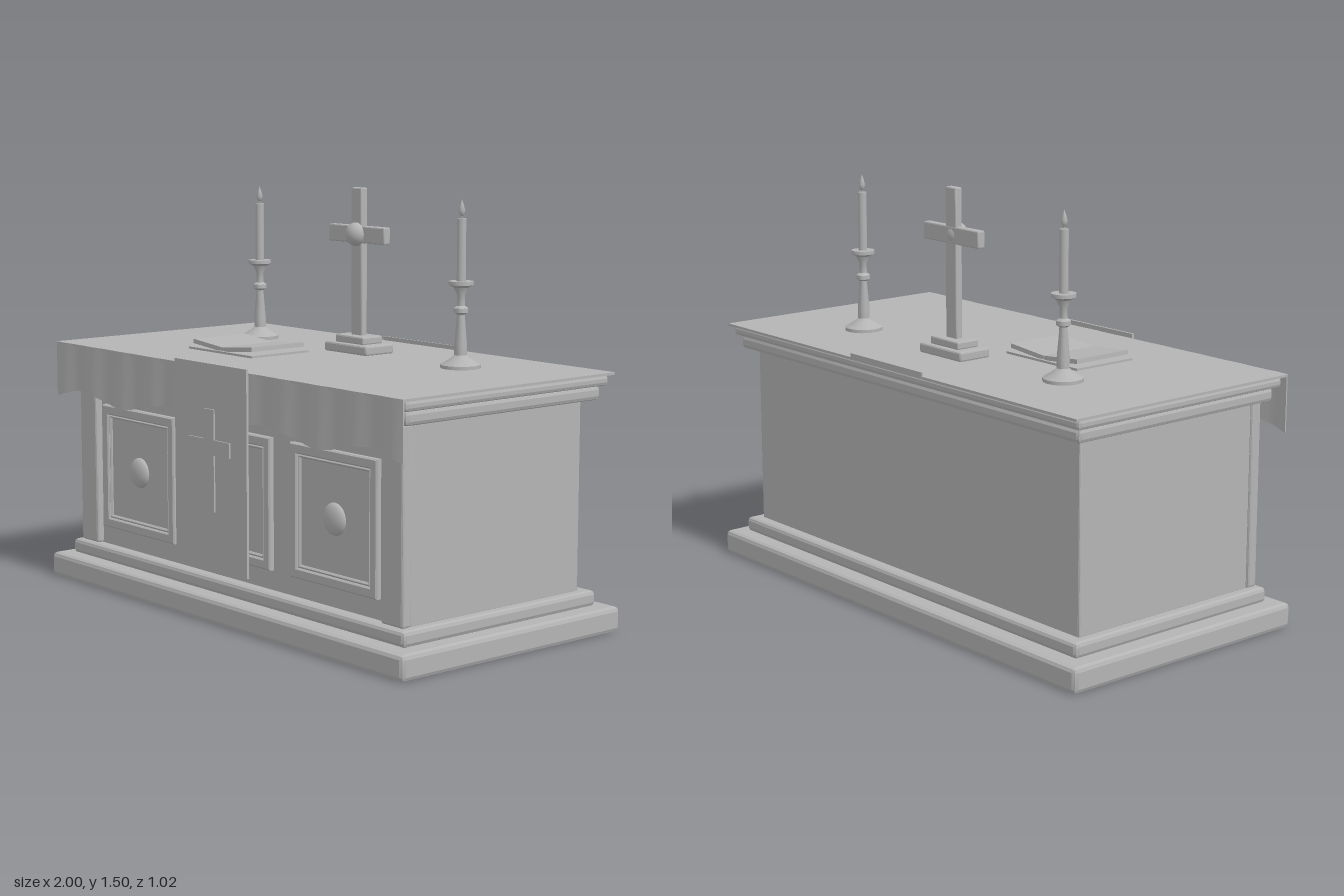
import * as THREE from 'three';
import { toCreasedNormals } from 'three/addons/utils/BufferGeometryUtils.js';
import { RoundedBoxGeometry } from 'three/addons/geometries/RoundedBoxGeometry.js';

const stone = new THREE.MeshStandardMaterial({ color: 0xb4b4b4 });
stone.name = 'plain grey';

function add(parent, name, geometry, x = 0, y = 0, z = 0) {
  const mesh = new THREE.Mesh(geometry, stone);
  mesh.name = name;
  mesh.position.set(x, y, z);
  parent.add(mesh);
  return mesh;
}

// Box given by its limits, with chamfered edges when bevel > 0
function block(parent, name, [x0, x1], [y0, y1], [z0, z1], bevel = 0) {
  const size = [x1 - x0, y1 - y0, z1 - z0];
  const geometry = bevel
    ? toCreasedNormals(new RoundedBoxGeometry(...size, 1, bevel), 0.3)
    : new THREE.BoxGeometry(...size);
  return add(parent, name, geometry, (x0 + x1) / 2, (y0 + y1) / 2, (z0 + z1) / 2);
}

function rectangle(target, w, h) {
  target.moveTo(-w / 2, -h / 2);
  target.lineTo(w / 2, -h / 2);
  target.lineTo(w / 2, h / 2);
  target.lineTo(-w / 2, h / 2);
  target.closePath();
  return target;
}

// Rectangular moulding with bevelled front edges
function frame(w, h, width, depth) {
  const b = 0.005;
  const shape = rectangle(new THREE.Shape(), w - 2 * b, h - 2 * b);
  shape.holes.push(rectangle(new THREE.Path(), w - 2 * width + 2 * b, h - 2 * width + 2 * b));
  return new THREE.ExtrudeGeometry(shape, {
    depth: depth - b, bevelEnabled: true, bevelThickness: b, bevelSize: b, bevelSegments: 1,
  });
}

function lathe(points, sides) {
  const geometry = new THREE.LatheGeometry(points.map(([r, y]) => new THREE.Vector2(r, y)), sides);
  return toCreasedNormals(geometry, 0.6);
}

// Shallow round boss facing +z
function boss(parent, name, radius, depth, x, y, z) {
  const mesh = add(parent, name, new THREE.SphereGeometry(radius, 24, 12), x, y, z);
  mesh.scale.z = depth / radius;
}

// Front panel with a frame, an inner field and a boss
function panel(x, withBoss) {
  const group = new THREE.Group();
  group.name = 'frontPanel';
  group.position.set(x, 0.448, 0.398);
  add(group, 'panelFrame', frame(0.445, 0.465, 0.036, 0.022));
  add(group, 'panelField', new THREE.BoxGeometry(0.38, 0.4, 0.01), 0, 0, 0.003);
  add(group, 'innerMoulding', frame(0.373, 0.393, 0.012, 0.017));
  if (withBoss) boss(group, 'panelBoss', 0.056, 0.024, 0, 0, 0.008);
  return group;
}

function candlestick(x) {
  const group = new THREE.Group();
  group.name = 'candlestick';
  group.position.set(x, 0.905, -0.163);
  add(group, 'stand', lathe([
    [0, 0], [0.07, 0], [0.07, 0.012], [0.03, 0.036], [0.022, 0.045], [0.022, 0.08],
    [0.014, 0.175], [0.014, 0.185], [0.025, 0.192], [0.025, 0.207], [0.014, 0.215],
    [0.013, 0.25], [0.026, 0.278], [0.043, 0.287], [0.043, 0.3], [0, 0.3],
  ], 16));
  add(group, 'candle', new THREE.CylinderGeometry(0.016, 0.016, 0.215, 12), 0, 0.4075, 0);
  add(group, 'wick', new THREE.CylinderGeometry(0.003, 0.003, 0.02, 6), 0, 0.522, 0);
  add(group, 'flame', lathe([[0, 0.52], [0.008, 0.528], [0.012, 0.541], [0.007, 0.56], [0, 0.581]], 10));
  return group;
}

// Hanging front cloth with shallow folds and a scalloped hem
function skirt() {
  const hem = new THREE.SplineCurve([
    [-0.973, 0.7], [-0.8, 0.732], [-0.555, 0.693], [-0.28, 0.735], [0, 0.7],
    [0.28, 0.735], [0.555, 0.693], [0.8, 0.732], [0.973, 0.7],
  ].map(([x, y]) => new THREE.Vector2(x, y)));
  const steps = 96;
  const geometry = new THREE.BoxGeometry(1, 1, 0.005, steps, 1, 1);
  const p = geometry.attributes.position;
  for (let i = 0; i < p.count; i++) {
    const point = hem.getPoint(Math.min(1, Math.max(0, p.getX(i) + 0.5)));
    const top = p.getY(i) > 0;
    const fold = Math.cos(point.x * 34) * (top ? 0.002 : 0.005);
    p.setXYZ(i, point.x, top ? 0.905 : point.y, 0.484 + p.getZ(i) + fold);
  }
  geometry.computeVertexNormals();
  return geometry;
}

export function createModel() {
  const model = new THREE.Group();
  model.name = 'altar';

  // Plinth, body and cornice
  block(model, 'plinth', [-1, 1], [0, 0.09], [-0.508, 0.508], 0.016);
  block(model, 'plinthStep', [-0.94, 0.94], [0.09, 0.145], [-0.448, 0.448], 0.014);
  block(model, 'body', [-0.9, 0.9], [0.14, 0.815], [-0.4, 0.4], 0.006);
  block(model, 'lowerCornice', [-0.945, 0.945], [0.81, 0.86], [-0.448, 0.448], 0.014);
  block(model, 'upperCornice', [-0.965, 0.965], [0.86, 0.897], [-0.467, 0.467], 0.012);

  // Corner pilasters and panels
  for (const s of [-1, 1]) {
    const pilaster = block(model, 'pilaster', [-0.0525, 0.0525], [0.145, 0.81], [0.385, 0.427], 0.008);
    pilaster.position.x = s * 0.8575;
    model.add(panel(s * 0.553, true), candlestick(s * 0.553));
  }
  model.add(panel(0, false));

  // Cloths
  block(model, 'clothTop', [-0.973, 0.973], [0.896, 0.905], [-0.486, 0.486]);
  add(model, 'clothSkirt', skirt());
  block(model, 'runnerFront', [-0.203, 0.203], [0.196, 0.92], [0.493, 0.502]);
  block(model, 'runnerBackEdge', [-0.2, 0.2], [0.9, 0.92], [-0.488, -0.482]);
  block(model, 'runnerCrossUpright', [-0.027, 0.027], [0.402, 0.762], [0.5, 0.508]);
  block(model, 'runnerCrossBar', [-0.114, 0.114], [0.602, 0.656], [0.5, 0.508]);

  // Standing cross
  const cross = new THREE.Group();
  cross.name = 'standingCross';
  model.add(cross);
  block(cross, 'crossBase', [-0.115, 0.115], [0.904, 0.94], [-0.248, -0.114], 0.007);
  block(cross, 'crossStep', [-0.077, 0.077], [0.938, 0.968], [-0.228, -0.134], 0.006);
  block(cross, 'crossUpright', [-0.029, 0.029], [0.96, 1.502], [-0.196, -0.167], 0.005);
  block(cross, 'crossArms', [-0.151, 0.151], [1.303, 1.365], [-0.197, -0.166], 0.005);
  boss(cross, 'crossBoss', 0.043, 0.036, 0, 1.334, -0.166);

  // Open book with pages rising outwards
  const book = new THREE.Group();
  book.name = 'openBook';
  book.position.set(-0.289, 0.905, 0.104);
  model.add(book);
  block(book, 'bookCover', [-0.185, 0.185], [0, 0.008], [-0.132, 0.132]);
  for (const s of [-1, 1]) {
    const pages = add(book, 'bookPages', new THREE.BoxGeometry(0.172, 0.016, 0.242), s * 0.087, 0.021, 0);
    pages.rotation.z = s * 0.09;
  }

  return model;
}
